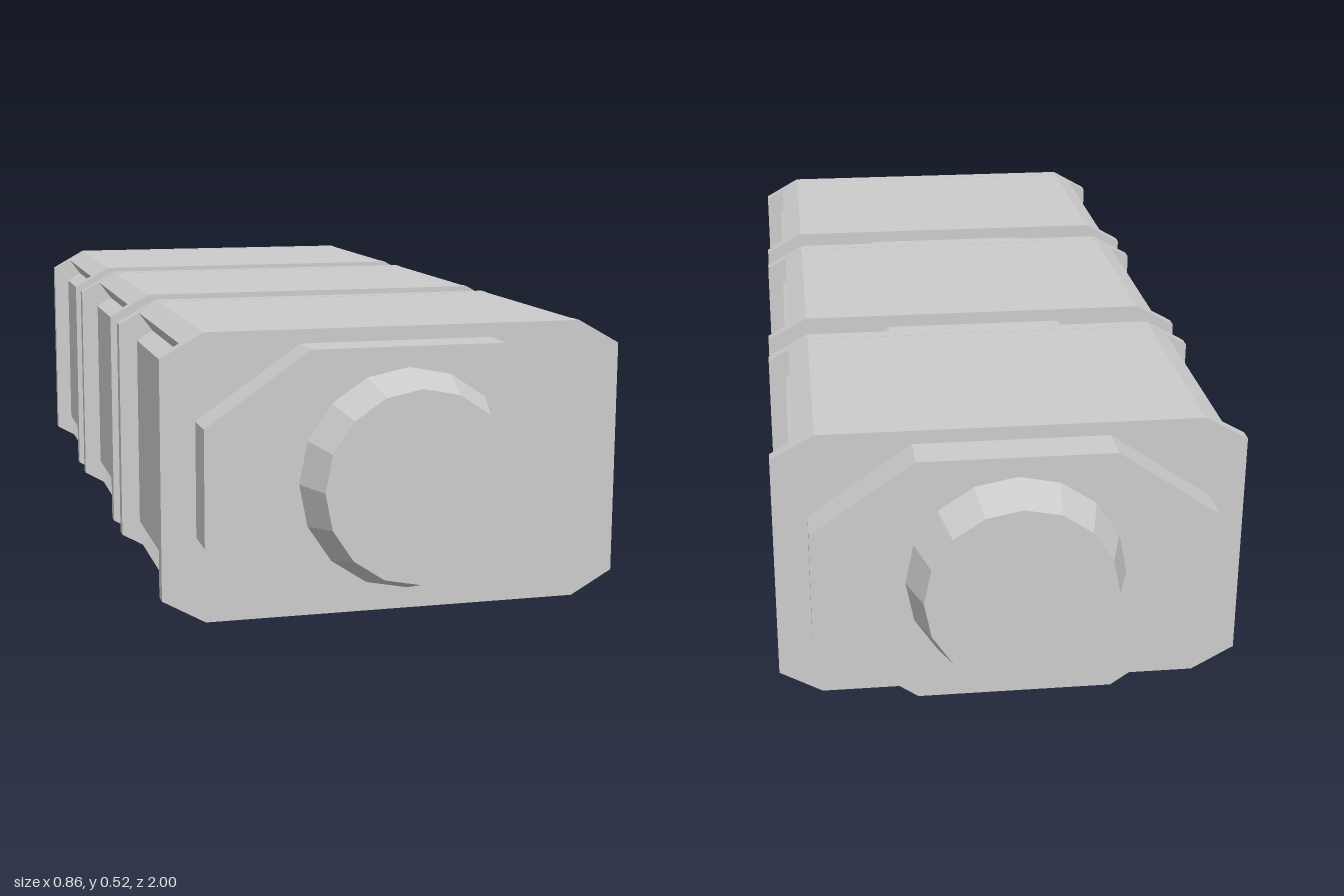
import * as THREE from 'three';

const MID = 0.2625; // height of the long axis
const material = new THREE.MeshStandardMaterial({ color: 0xcccccc, flatShading: true });

function addMesh(parent, name, geometry, x = 0, y = 0, z = 0) {
  const mesh = new THREE.Mesh(geometry, material);
  mesh.name = name;
  mesh.position.set(x, y, z);
  parent.add(mesh);
  return mesh;
}

// Mirrors one quarter outline (top to side) into a closed profile, extruded along z
function quarterPrism(quarter, length) {
  const right = [...quarter, ...quarter.map(([x, y]) => [x, -y]).reverse()];
  const all = [...right, ...right.map(([x, y]) => [-x, y]).reverse()];
  const shape = new THREE.Shape(all.map(([x, y]) => new THREE.Vector2(x, y)));
  return new THREE.ExtrudeGeometry(shape, { depth: length, bevelEnabled: false })
    .translate(0, 0, -length / 2);
}

// Box whose outer (+x) face is drawn in to give bevelled edges
function bevelledPanel(depth, height, length, bevel) {
  const geometry = new THREE.BoxGeometry(depth, height, length);
  const p = geometry.attributes.position;
  for (let i = 0; i < p.count; i++) {
    if (p.getX(i) < 0) continue;
    p.setY(i, p.getY(i) - Math.sign(p.getY(i)) * bevel);
    p.setZ(i, p.getZ(i) - Math.sign(p.getZ(i)) * bevel);
  }
  geometry.computeVertexNormals();
  return geometry;
}

function createSegment() {
  const segment = new THREE.Group();

  // Body with an overhanging lip and a recess along each side
  const body = [[0.35, 0.261], [0.389, 0.239], [0.363, 0.204]];
  addMesh(segment, 'segmentBody', quarterPrism(body, 0.48), 0, MID, 0);

  // Chamfered end flanges
  const flange = [[0.351, 0.2615], [0.43, 0.217]];
  for (const s of [-1, 1]) {
    addMesh(segment, 'endFlange', quarterPrism(flange, 0.027), 0, MID, s * 0.2375);
  }

  // Raised side panels
  for (const s of [-1, 1]) {
    const panel = addMesh(segment, 'sidePanel', bevelledPanel(0.035, 0.408, 0.448, 0.018), s * 0.379, MID, 0);
    if (s < 0) panel.rotation.y = Math.PI;
  }
  return segment;
}

export function createModel() {
  const model = new THREE.Group();
  model.name = 'segmentedContainer';

  // Octagonal core running through all segments
  addMesh(model, 'core', quarterPrism([[0.178, 0.236], [0.367, 0.105]], 1.845), 0, MID, 0);

  // Three identical armoured segments
  for (const i of [-1, 0, 1]) {
    const segment = createSegment();
    segment.name = 'segment';
    segment.position.z = i * 0.595;
    model.add(segment);
  }

  // Tapered round caps at both ends
  for (const s of [-1, 1]) {
    const cap = addMesh(model, 'endCap', new THREE.CylinderGeometry(0.173, 0.2, 0.08, 16), 0, MID, s * 0.96);
    cap.rotation.x = s * Math.PI / 2;
  }
  return model;
}
